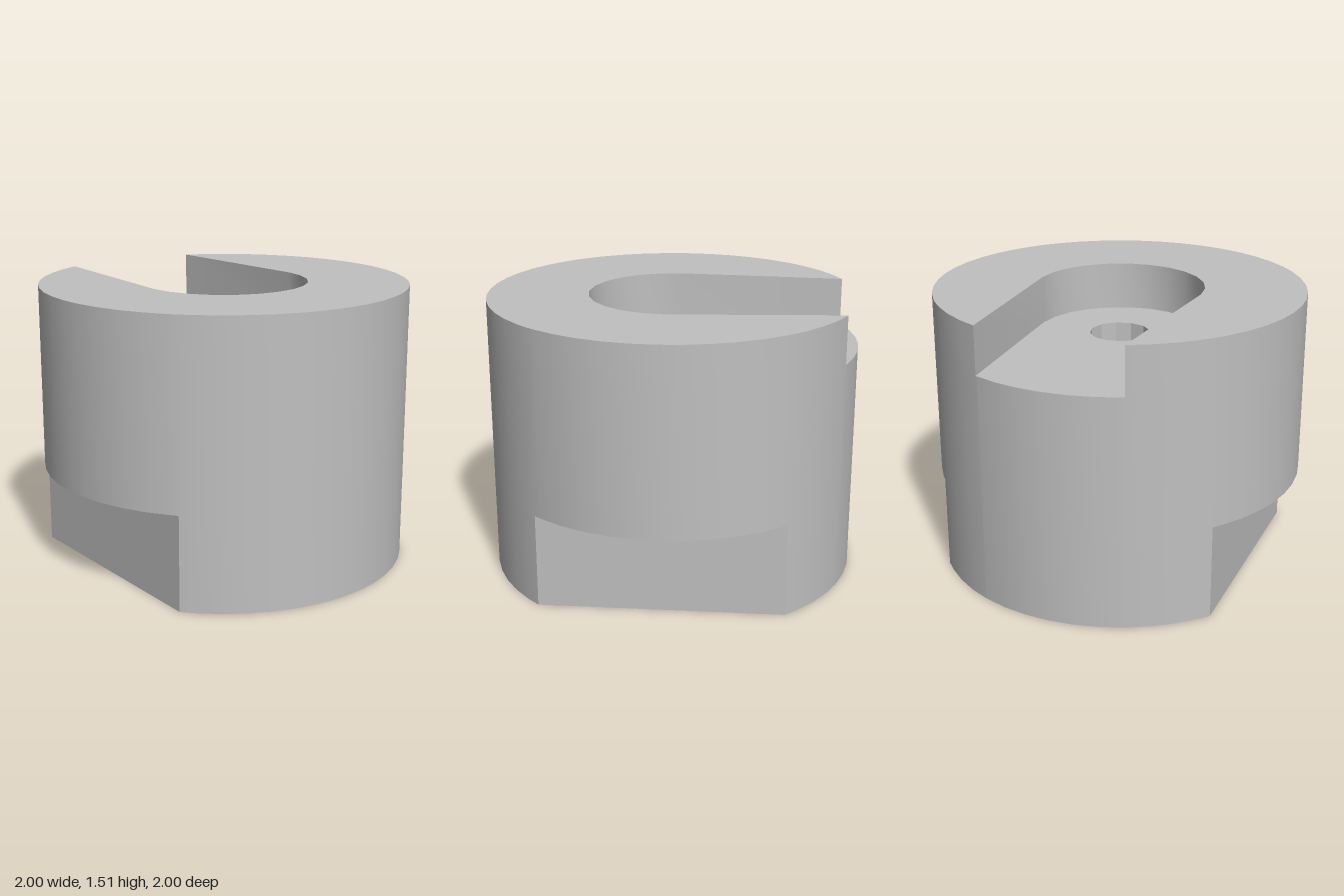
import * as THREE from 'three';
import { toCreasedNormals } from 'three/addons/utils/BufferGeometryUtils.js';

// Heights: underside, side ledges, bore ceiling, slot floor, top
const LEDGE = 0.51, CEILING = 0.8, FLOOR = 1.25, TOP = 1.51;
const FLAT_X = 0.762, SLOT_R = 0.457, PILOT_R = 0.165, BORE_R = 0.34;
const FLAT_ANGLE = THREE.MathUtils.radToDeg(Math.acos(FLAT_X));
const SLOT_START = -66.7, SLOT_END = 246.7;
const EPS = 1e-4;

// Plan points use (x, z)
const polar = (deg, r = 1) => {
  const a = THREE.MathUtils.degToRad(deg);
  return new THREE.Vector2(r * Math.cos(a), r * Math.sin(a));
};
const ring = (r, n) => Array.from({ length: n }, (_, i) => polar((i * 360) / n, r));
const closed = (points) => [...points, points[0]];

// Vertical wall along a path; faces outward when the angle increases
function wall(path, spans) {
  const pos = [];
  for (let i = 0; i < path.length - 1; i++) {
    const p = path[i], q = path[i + 1];
    for (const [y0, y1] of spans(p, q, i)) {
      pos.push(p.x, y0, p.y, p.x, y1, p.y, q.x, y1, q.y);
      pos.push(p.x, y0, p.y, q.x, y1, q.y, q.x, y0, q.y);
    }
  }
  const g = new THREE.BufferGeometry();
  g.setAttribute('position', new THREE.Float32BufferAttribute(pos, 3));
  return toCreasedNormals(g, 0.42);
}

// Flat horizontal face with an optional hole
function face(points, y, up, hole) {
  const shape = new THREE.Shape(points);
  if (hole) shape.holes.push(new THREE.Path(hole));
  const g = new THREE.ShapeGeometry(shape);
  g.rotateX(Math.PI / 2);
  g.translate(0, y, 0);
  if (up) {
    g.index.array.reverse();
    g.computeVertexNormals();
  }
  return g;
}

export function createModel() {
  const group = new THREE.Group();
  const grey = new THREE.MeshStandardMaterial({ color: 0xc0c0c0 });
  grey.name = 'grey';
  const add = (name, geometry) => {
    const mesh = new THREE.Mesh(geometry, grey);
    mesh.name = name;
    group.add(mesh);
  };

  // Outer circle, with extra points where the flats and the slot meet it
  const angles = Array.from({ length: 48 }, (_, i) => -60 + i * 7.5);
  angles.push(FLAT_ANGLE, -FLAT_ANGLE, 180 - FLAT_ANGLE, 180 + FLAT_ANGLE, SLOT_START, SLOT_END);
  angles.sort((a, b) => a - b);
  const rim = angles.map((a) => polar(a));
  const rimOutsideSlot = rim.filter((_, i) => angles[i] <= SLOT_END);
  const rimInSlot = [...rim.filter((_, i) => angles[i] >= SLOT_END), rim[0]];

  // U-shaped slot outline, open at the back
  const slotArc = Array.from({ length: 13 }, (_, i) => polar(i * 15, SLOT_R));
  const slotPath = [rim[0], ...slotArc, polar(SLOT_END)];
  const pilot = ring(PILOT_R, 12), bore = ring(BORE_R, 20);

  // Outer cylinder wall, leaving out the side cuts and slot opening
  add('outerWall', wall(closed(rim), (p, q, i) => {
    const spans = [[LEDGE, FLOOR]];
    if (Math.abs(p.x + q.x) / 2 < FLAT_X) spans.push([0, LEDGE]);
    if (angles[i] < SLOT_END) spans.push([FLOOR, TOP]);
    return spans;
  }));

  // Top face and slot
  add('topFace', face([...rimOutsideSlot, ...slotArc.slice().reverse()], TOP, true));
  add('slotWall', wall(slotPath.slice().reverse(), () => [[FLOOR, TOP]]));
  add('slotFloor', face([...slotArc, ...rimInSlot], FLOOR, true, pilot));

  // Narrow hole opening into a wider bore below
  add('pilotHole', wall(closed(pilot).reverse(), () => [[CEILING, FLOOR]]));
  add('boreCeiling', face(bore, CEILING, false, pilot));
  add('boreWall', wall(closed(bore).reverse(), () => [[0, CEILING]]));

  // Underside between the two flats
  add('bottomFace', face(rim.filter((p) => Math.abs(p.x) < FLAT_X + EPS), 0, false, bore));

  // Side flats and the ledges above them
  for (const [side, turn, name] of [[1, 0, 'left'], [-1, 180, 'right']]) {
    const edge = [polar(turn - FLAT_ANGLE), polar(turn + FLAT_ANGLE)];
    add(name + 'Flat', wall(edge, () => [[0, LEDGE]]));
    const ledge = rim.filter((p) => p.x * side > FLAT_X - EPS);
    add(name + 'Ledge', face(ledge, LEDGE, false));
  }
  return group;
}
